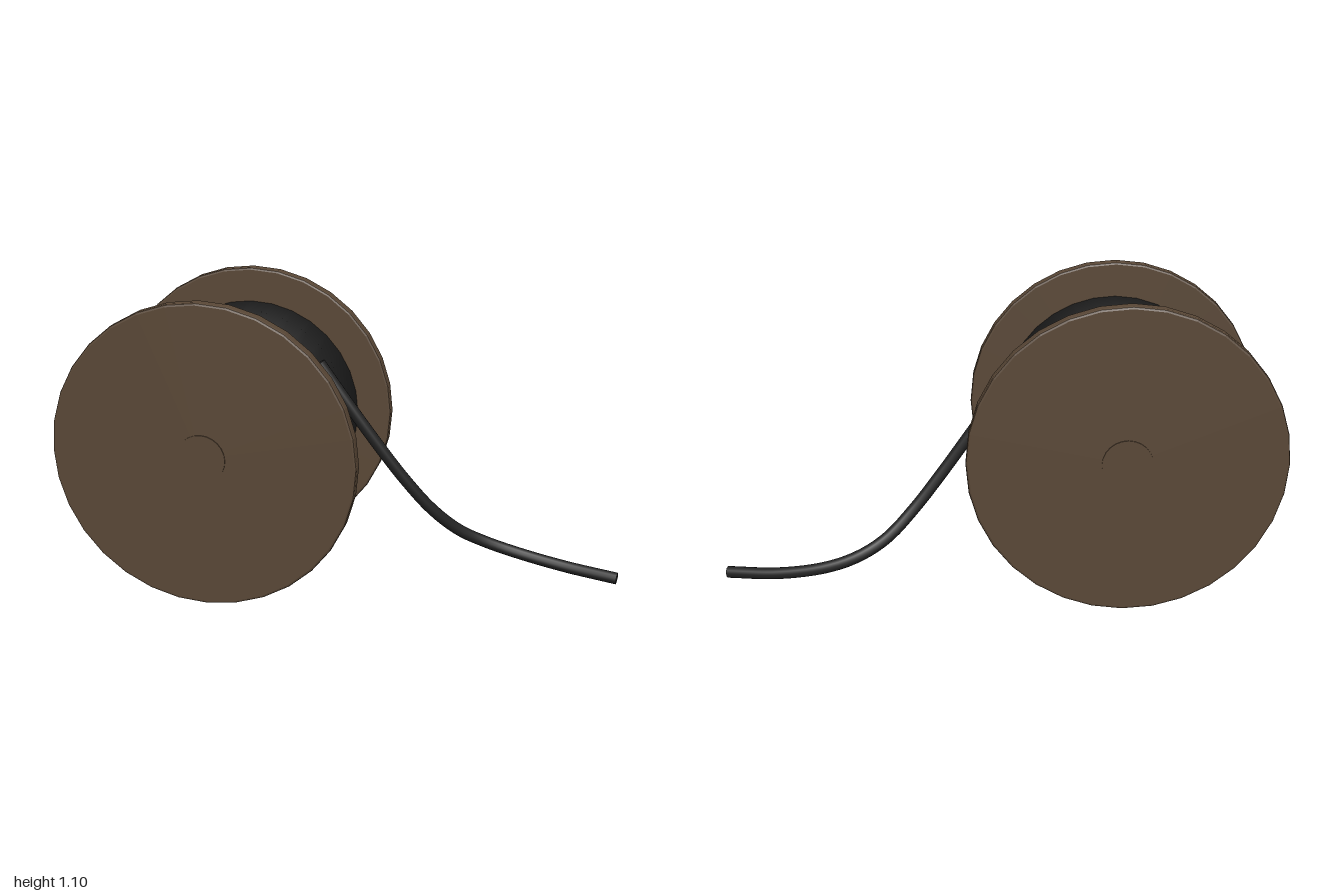
import * as THREE from 'three';

export function createModel() {
  const group = new THREE.Group();
  const wood = new THREE.MeshStandardMaterial({ color: 0x594736 });
  wood.name = 'brown wood';
  wood.flatShading = true;
  const black = new THREE.MeshStandardMaterial({ color: 0x222222 });
  black.name = 'black cable';

  const add = (name, geometry, material, parent = group) => {
    const mesh = new THREE.Mesh(geometry, material);
    mesh.name = name;
    parent.add(mesh);
    return mesh;
  };
  const lathe = (points, sides) =>
    new THREE.LatheGeometry(points.map(([r, h]) => new THREE.Vector2(r, h)), sides).rotateX(Math.PI / 2);

  // Spool lying on its rims, axis along z
  const spool = new THREE.Group();
  spool.name = 'spool';
  spool.position.set(-0.45, 0.556, 0);
  group.add(spool);

  // Wound cable, softly shaded towards the flanges
  add('woundCable', lathe([[0, -0.312], [0.42, -0.312], [0.42, 0.312], [0, 0.312]], 32), black, spool);

  // Bevelled end flanges
  const R = 0.55, h = 0.026, b = 0.009;
  const profile = [[0, -h], [R - b, -h], [R - b * 0.3, -h + b * 0.3], [R, -h + b],
    [R, h - b], [R - b * 0.3, h - b * 0.3], [R - b, h], [0, h]];
  for (const [side, s] of [['front', 1], ['back', -1]]) {
    add(side + 'Flange', lathe(profile, 32), wood, spool).position.z = s * 0.335;
  }

  // Axle showing slightly through both flanges
  add('axle', new THREE.CylinderGeometry(0.0875, 0.0875, 0.73, 24).rotateX(Math.PI / 2), wood, spool);

  // Loose cable end trailing down to the ground
  const path = new THREE.CatmullRomCurve3([
    [-0.11, 0.826, 0], [0, 0.67, -0.004], [0.1, 0.528, -0.017], [0.2, 0.39, -0.038], [0.3, 0.265, -0.072],
    [0.4, 0.168, -0.122], [0.5, 0.112, -0.158], [0.62, 0.072, -0.171],
    [0.8, 0.039, -0.155], [0.996, 0.024, -0.116],
  ].map((p) => new THREE.Vector3(...p)));
  const radius = 0.022;
  add('looseCable', new THREE.TubeGeometry(path, 48, radius, 12), black);

  // Cut faces of the loose cable
  for (const [name, t, s] of [['cableStartCap', 0, -1], ['cableEndCap', 1, 1]]) {
    const cap = add(name, new THREE.CircleGeometry(radius, 12), black);
    cap.position.copy(path.getPointAt(t));
    cap.quaternion.setFromUnitVectors(new THREE.Vector3(0, 0, 1), path.getTangentAt(t).multiplyScalar(s));
  }
  return group;
}
